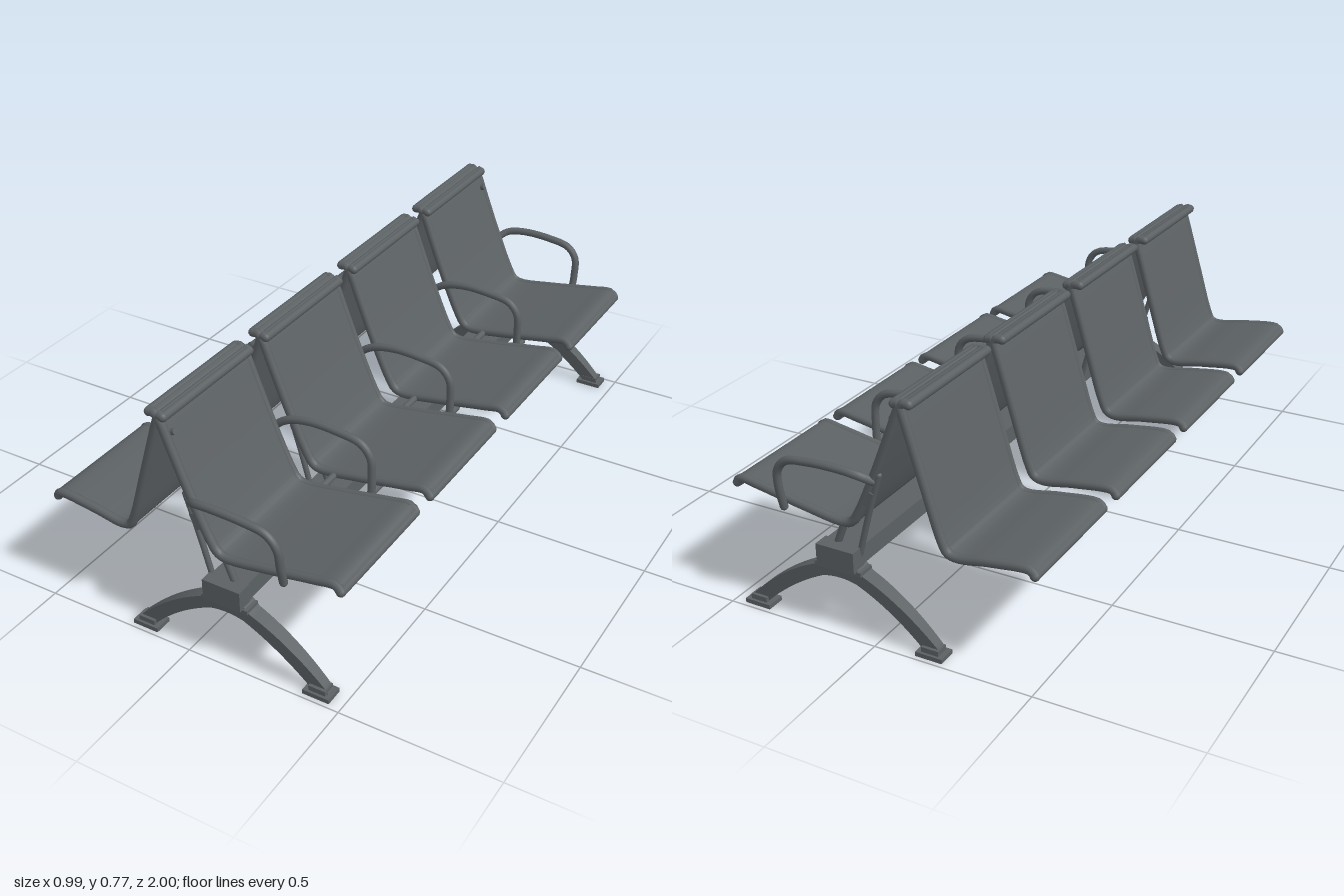
import * as THREE from 'three';
import { toCreasedNormals } from 'three/addons/utils/BufferGeometryUtils.js';

const steel = new THREE.MeshStandardMaterial({ color: 0x5c6164 });
steel.name = 'grey steel';

function add(parent, name, geometry, x = 0, y = 0, z = 0) {
  const mesh = new THREE.Mesh(geometry, steel);
  mesh.name = name;
  mesh.position.set(x, y, z);
  parent.add(mesh);
  return mesh;
}

const curveOf = (points) =>
  new THREE.CatmullRomCurve3(points.map(([x, y, z = 0]) => new THREE.Vector3(x, y, z)), false, 'centripetal');

// round bar with rounded ends
function bar(parent, name, points, r, segments = 48) {
  const group = new THREE.Group();
  group.name = name;
  const curve = curveOf(points);
  add(group, name + 'Tube', new THREE.TubeGeometry(curve, segments, r, 10));
  for (const t of [0, 1]) {
    const p = curve.getPoint(t);
    add(group, name + 'End', new THREE.SphereGeometry(r, 10, 8), p.x, p.y, p.z);
  }
  parent.add(group);
  return group;
}

// shape extruded along z, centred on z = 0
function slab(shape, depth) {
  const g = new THREE.ExtrudeGeometry(shape, { depth, bevelEnabled: false, curveSegments: 20 });
  g.translate(0, 0, -depth / 2);
  return g;
}

// sheet of even thickness following a path
function sheet(points, half, width) {
  const curve = curveOf(points), n = 56, upper = [], lower = [];
  for (let i = 0; i <= n; i++) {
    const p = curve.getPoint(i / n), t = curve.getTangent(i / n);
    upper.push(new THREE.Vector2(p.x - t.y * half, p.y + t.x * half));
    lower.push(new THREE.Vector2(p.x + t.y * half, p.y - t.x * half));
  }
  return toCreasedNormals(slab(new THREE.Shape([...upper, ...lower.reverse()]), width), 0.7);
}

// side profiles of the two rows, from seat lip to top of back
const frontProfile = [[0.482, 0.378], [0.468, 0.395], [0.4, 0.387], [0.25, 0.361], [0.112, 0.344], [0.085, 0.355],
  [0.06, 0.395], [0, 0.53], [-0.05, 0.655], [-0.082, 0.735], [-0.095, 0.752], [-0.113, 0.751]];
const rearProfile = [[-0.483, 0.34], [-0.472, 0.354], [-0.35, 0.345], [-0.245, 0.329], [-0.217, 0.338], [-0.2, 0.37],
  [-0.15, 0.53], [-0.09, 0.725], [-0.08, 0.75], [-0.068, 0.746]];

const W = 0.435, R = 0.014;

function makeShell(name, profile) {
  const shell = new THREE.Group();
  shell.name = name;
  add(shell, 'panel', sheet(profile, 0.009, W - 2 * R));
  for (const s of [-1, 1]) {
    bar(shell, 'sideFrame', profile.map(([x, y]) => [x, y, s * (W / 2 - R)]), R, 64);
  }
  const [first, last] = [profile[0], profile[profile.length - 1]];
  for (const [x, y] of [first, last]) {
    bar(shell, 'edgeRoll', [[x, y, -W / 2 + R], [x, y, W / 2 - R]], R, 1);
  }
  return shell;
}

// arched leg, narrowing towards the feet
function legGeometry() {
  const s = new THREE.Shape();
  s.moveTo(-0.195, 0.012);
  s.lineTo(-0.19, 0.03);
  s.quadraticCurveTo(-0.08, 0.145, 0.04, 0.2);
  s.lineTo(0.06, 0.22);
  s.lineTo(0.185, 0.22);
  s.lineTo(0.205, 0.2);
  s.quadraticCurveTo(0.33, 0.145, 0.44, 0.03);
  s.lineTo(0.45, 0.012);
  s.lineTo(0.395, 0.012);
  s.quadraticCurveTo(0.29, 0.115, 0.18, 0.168);
  s.quadraticCurveTo(0.122, 0.185, 0.065, 0.168);
  s.quadraticCurveTo(-0.05, 0.115, -0.145, 0.012);
  const g = slab(s, 1);
  const p = g.attributes.position;
  for (let i = 0; i < p.count; i++) p.setZ(i, p.getZ(i) * (0.028 + 0.1 * p.getY(i)));
  return toCreasedNormals(g, 0.6);
}

export function createModel() {
  const model = new THREE.Group();
  model.name = 'beamSeating';

  // four back-to-back pairs of seats
  for (const z of [-0.745, -0.25, 0.25, 0.745]) {
    for (const [name, profile] of [['frontSeat', frontProfile], ['rearSeat', rearProfile]]) {
      const shell = makeShell(name, profile);
      shell.position.z = z;
      model.add(shell);
    }
  }

  // beam
  add(model, 'beam', new THREE.BoxGeometry(0.115, 0.058, 1.96), 0.122, 0.248, 0);

  // legs, feet and beam ends
  const leg = legGeometry();
  for (const s of [-1, 1]) {
    add(model, 'leg', leg, 0, 0, s * 0.953);
    add(model, 'beamCap', new THREE.BoxGeometry(0.125, 0.066, 0.05), 0.122, 0.247, s * 0.97);
    add(model, 'legCollar', new THREE.BoxGeometry(0.155, 0.014, 0.055), 0.122, 0.209, s * 0.957);
    for (const x of [-0.168, 0.418]) {
      add(model, 'foot', new THREE.BoxGeometry(0.086, 0.014, 0.058), x, 0.007, s * 0.957);
      add(model, 'footCollar', new THREE.BoxGeometry(0.055, 0.018, 0.042), x, 0.021, s * 0.957);
    }

    // end armrests, bowed outwards from the seat edge
    bar(model, 'endArmrest', [[0.01, 0.5, s * 0.955], [0.04, 0.52, s * 0.977], [0.1, 0.53, s * 0.986],
      [0.2, 0.527, s * 0.987], [0.275, 0.512, s * 0.985], [0.306, 0.475, s * 0.983],
      [0.311, 0.41, s * 0.976], [0.31, 0.35, s * 0.962]], 0.0125);

    // bolts at the top outer corners
    const bolt = add(model, 'bolt', new THREE.CylinderGeometry(0.01, 0.01, 0.018, 10), -0.052, 0.695, s * 0.93);
    bolt.rotation.z = -1.18;

    // mounting lugs on the beam
    bar(model, 'beamLug', [[0.16, 0.262, s * 0.28], [0.217, 0.283, s * 0.28]], 0.011, 1);

    // struts from the beam to seat and back
    for (const z of [s * 0.95, s * 0.44]) {
      bar(model, 'seatStrut', [[0.145, 0.26, z], [0.115, 0.338, z]], 0.011, 1);
      bar(model, 'backStrut', [[0.068, 0.25, z], [0.03, 0.39, z], [0.012, 0.45, z], [-0.01, 0.52, z]], 0.009, 12);
      const clamp = add(model, 'strutClamp', new THREE.BoxGeometry(0.025, 0.05, 0.022), 0.026, 0.443, z);
      clamp.rotation.z = 0.4;
    }
  }

  // shared armrests and the rods that join neighbouring seats
  for (const z of [-0.4925, 0, 0.4925]) {
    bar(model, 'armrest', [[-0.158, 0.346, z], [-0.1, 0.39, z], [-0.04, 0.46, z], [0.02, 0.51, z], [0.1, 0.53, z],
      [0.2, 0.527, z], [0.275, 0.512, z], [0.306, 0.475, z], [0.311, 0.41, z], [0.31, 0.345, z]], 0.0125);
    for (const [x, y] of [[0.165, 0.345], [0.31, 0.35]]) {
      bar(model, 'joiningRod', [[x, y, z - 0.05], [x, y, z + 0.05]], 0.011, 1);
    }
  }
  return model;
}
